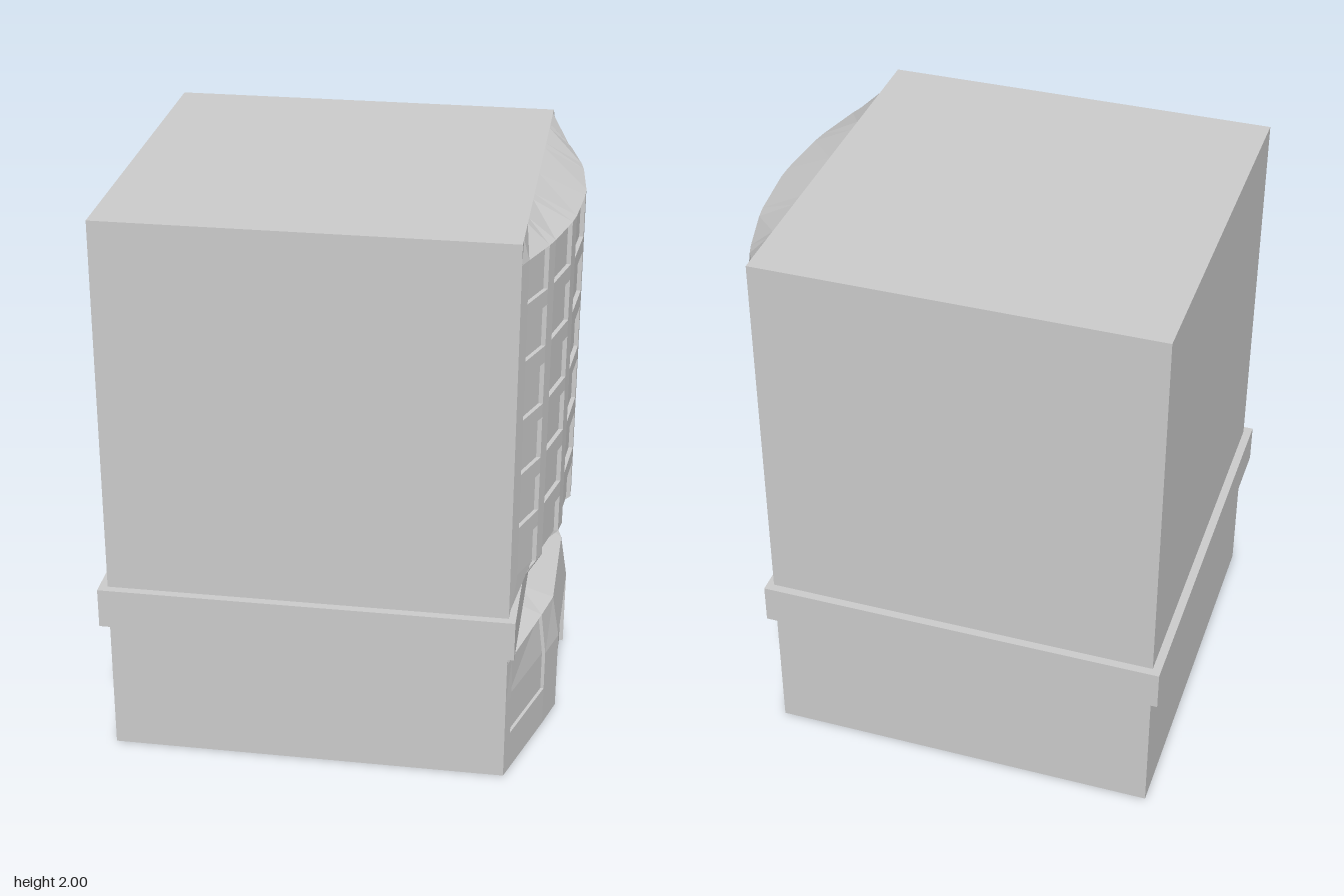
import * as THREE from 'three';

const BACK = 0.63; // x of the flat wall the bays grow from

const material = () => new THREE.MeshStandardMaterial({ color: 0xcccccc, flatShading: true, side: THREE.DoubleSide });

function box(name, x0, x1, y0, y1, z0, z1) {
  const mesh = new THREE.Mesh(new THREE.BoxGeometry(x1 - x0, y1 - y0, z1 - z0), material());
  mesh.position.set((x0 + x1) / 2, (y0 + y1) / 2, (z0 + z1) / 2);
  mesh.name = name;
  return mesh;
}

// Bay wall on a grid of z and y lines; depth(i, j) sinks a cell to make a window.
// profile(z, y) gives x. The top and bottom are closed back to the flat wall.
function bay(name, zs, ys, profile, depth, topBack, bottomBack) {
  const pos = [];
  const quad = (a, b, c, d) => pos.push(...a, ...b, ...c, ...a, ...c, ...d);
  const P = (i, j, d) => [profile(zs[i], ys[j]) - d, ys[j], zs[i]];
  const cols = zs.length - 1, rows = ys.length - 1;
  for (let i = 0; i < cols; i++) {
    for (let j = 0; j < rows; j++) {
      const d = depth(i, j);
      quad(P(i, j, d), P(i + 1, j, d), P(i + 1, j + 1, d), P(i, j + 1, d));
      // Reveals where neighbouring cells differ in depth
      if (i + 1 < cols) {
        const e = depth(i + 1, j);
        if (e !== d) quad(P(i + 1, j, d), P(i + 1, j, e), P(i + 1, j + 1, e), P(i + 1, j + 1, d));
      }
      if (j + 1 < rows) {
        const e = depth(i, j + 1);
        if (e !== d) quad(P(i, j + 1, d), P(i + 1, j + 1, d), P(i + 1, j + 1, e), P(i, j + 1, e));
      }
    }
    // Sloping cap and soffit
    quad(P(i, rows, 0), P(i + 1, rows, 0), [BACK, topBack, zs[i + 1]], [BACK, topBack, zs[i]]);
    const d = depth(i, 0);
    quad([BACK, bottomBack, zs[i]], [BACK, bottomBack, zs[i + 1]], P(i + 1, 0, d), P(i, 0, d));
  }
  const geometry = new THREE.BufferGeometry();
  geometry.setAttribute('position', new THREE.Float32BufferAttribute(pos, 3));
  geometry.computeVertexNormals();
  const mesh = new THREE.Mesh(geometry, material());
  mesh.name = name;
  return mesh;
}

export function createModel() {
  const group = new THREE.Group();
  group.name = 'building';

  // Main block and the cornice belt around it
  group.add(box('mainBlock', -0.77, BACK, 0, 2, -0.7, 0.7));
  group.add(box('corniceBelt', -0.8, 0.655, 0.5, 0.645, -0.73, 0.73));

  // Curved upper bay: six columns and six rows of sunken windows
  const upperZ = [0.7, 0.65, 0.51, 0.46, 0.285, 0.225, 0.02, -0.04, -0.25, -0.305, -0.48, -0.525, -0.655, -0.7];
  const upperY = [0.77, 0.91, 0.97, 1.11, 1.17, 1.32, 1.37, 1.52, 1.58, 1.725, 1.78, 1.93];
  const curve = (z) => Math.abs(z) > 0.69 ? BACK : 0.79 - 0.335 * z * z;
  group.add(bay('upperBay', upperZ, upperY, curve,
    (i, j) => (i % 2 === 1 && j % 2 === 0 ? 0.015 : 0), 2, 0.645));

  // Three-sided ground floor bay with a doorway and two shop windows
  const lowerZ = [0.7, 0.65, 0.35, 0.22, -0.23, -0.32, -0.65, -0.7];
  const lowerY = [0, 0.15, 0.3, 0.46];
  const angled = (z, y) => {
    const out = 0.15 * Math.min(1, (0.7 - Math.abs(z)) / 0.47);
    return BACK + out * (1 - 0.17 * Math.max(0, (y - 0.3) / 0.16));
  };
  const lowerDepth = (i, j) => {
    if (i === 3 && j < 2) return 0.015;
    return (i === 1 || i === 5) && j > 0 ? 0.012 : 0;
  };
  group.add(bay('groundFloorBay', lowerZ, lowerY, angled, lowerDepth, 0.5, 0));

  return group;
}
